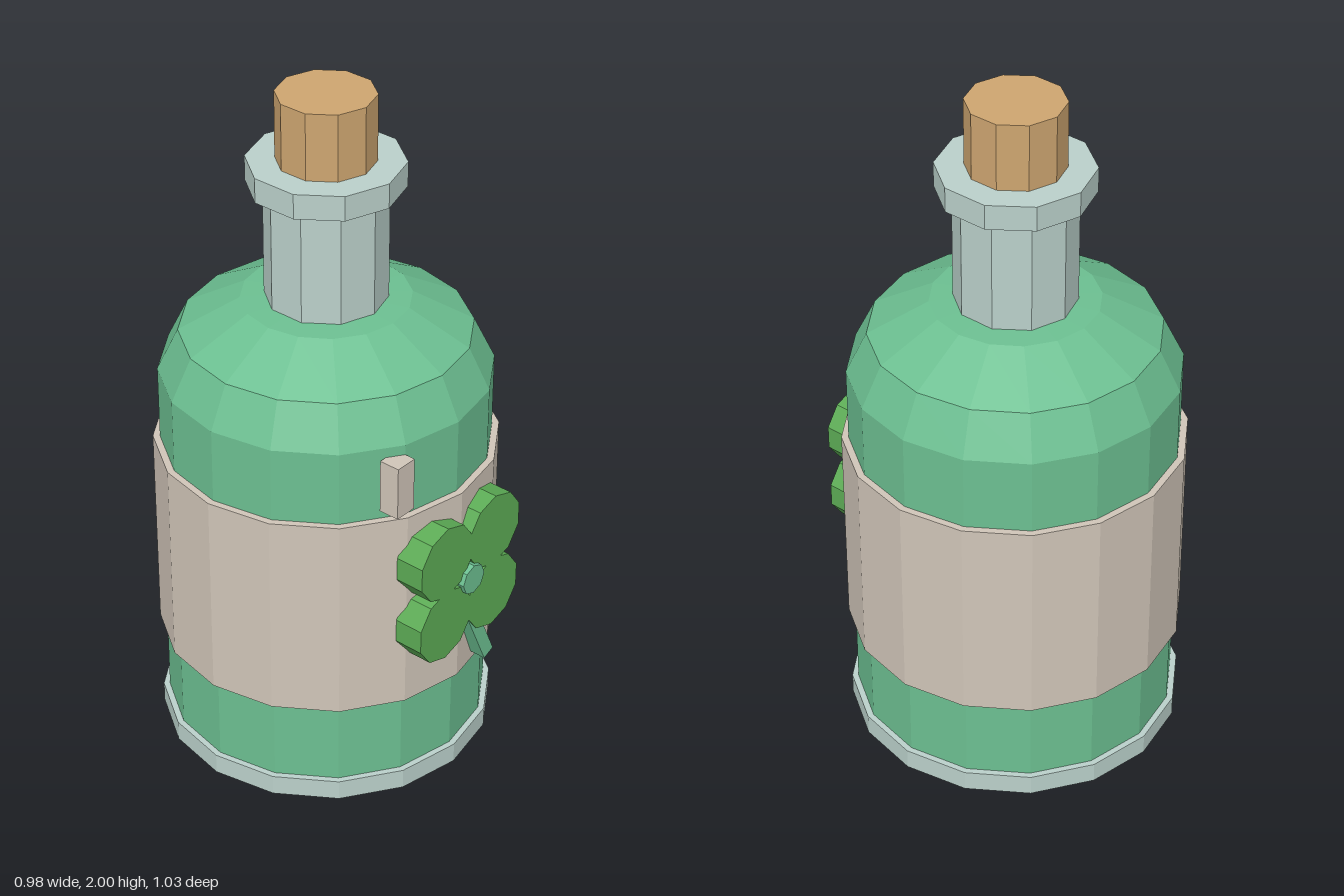
import * as THREE from 'three';

const mat = (name, color) => {
  const m = new THREE.MeshStandardMaterial({ color, flatShading: true });
  m.name = name;
  return m;
};

export function createModel() {
  const green = mat('bottleGreen', 0x6cbf91);
  const glass = mat('paleGlass', 0xbad0ca);
  const paper = mat('labelBeige', 0xd0c5b8);
  const corkTan = mat('corkTan', 0xcda570);
  const leaf = mat('leafGreen', 0x5cab55);

  const model = new THREE.Group();
  model.name = 'potionBottle';
  const bottle = new THREE.Group();
  bottle.name = 'bottle';
  bottle.position.z = -0.026;
  model.add(bottle);

  const add = (parent, name, geometry, material, x = 0, y = 0, z = 0) => {
    const mesh = new THREE.Mesh(geometry, material);
    mesh.name = name;
    mesh.position.set(x, y, z);
    parent.add(mesh);
    return mesh;
  };
  // upright prism between two heights
  const prism = (name, r, y0, y1, sides, material) =>
    add(bottle, name, new THREE.CylinderGeometry(r, r, y1 - y0, sides), material, 0, (y0 + y1) / 2);

  // body with a faceted shoulder
  const profile = [[0, 0.03], [0.47, 0.03], [0.47, 1.17], [0.41, 1.293], [0.238, 1.388], [0, 1.4]]
    .map(([r, y]) => new THREE.Vector2(r, y));
  add(bottle, 'body', new THREE.LatheGeometry(profile, 16), green);

  prism('base', 0.488, 0, 0.062, 16, glass);
  prism('label', 0.49, 0.32, 0.947, 16, paper);
  prism('neck', 0.172, 1.37, 1.74, 10, glass);
  prism('rim', 0.219, 1.732, 1.805, 10, glass);
  prism('cork', 0.138, 1.78, 2, 10, corkTan);

  // small block on the upper front
  add(model, 'highlight', new THREE.BoxGeometry(0.068, 0.16, 0.062), paper, -0.214, 1.06, 0.409);

  // clover: four lobes, a centre stud and a slanted stem
  const clover = new THREE.Group();
  clover.name = 'clover';
  clover.position.set(0, 0.68, 0);
  model.add(clover);
  const disc = (name, r, depth, sides, material, x, y, z) => {
    const g = new THREE.CylinderGeometry(r, r, depth, sides).rotateX(Math.PI / 2);
    return add(clover, name, g, material, x, y, z);
  };
  for (const sx of [-1, 1])
    for (const sy of [-1, 1])
      disc('cloverLeaf', 0.115, 0.088, 10, leaf, sx * 0.104, sy * 0.105, 0.457);
  disc('cloverCentre', 0.046, 0.07, 8, green, 0, 0, 0.479);
  const stem = add(clover, 'cloverStem', new THREE.BoxGeometry(0.042, 0.22, 0.05), green, 0.058, -0.225, 0.472);
  stem.rotation.z = 0.42;

  return model;
}
